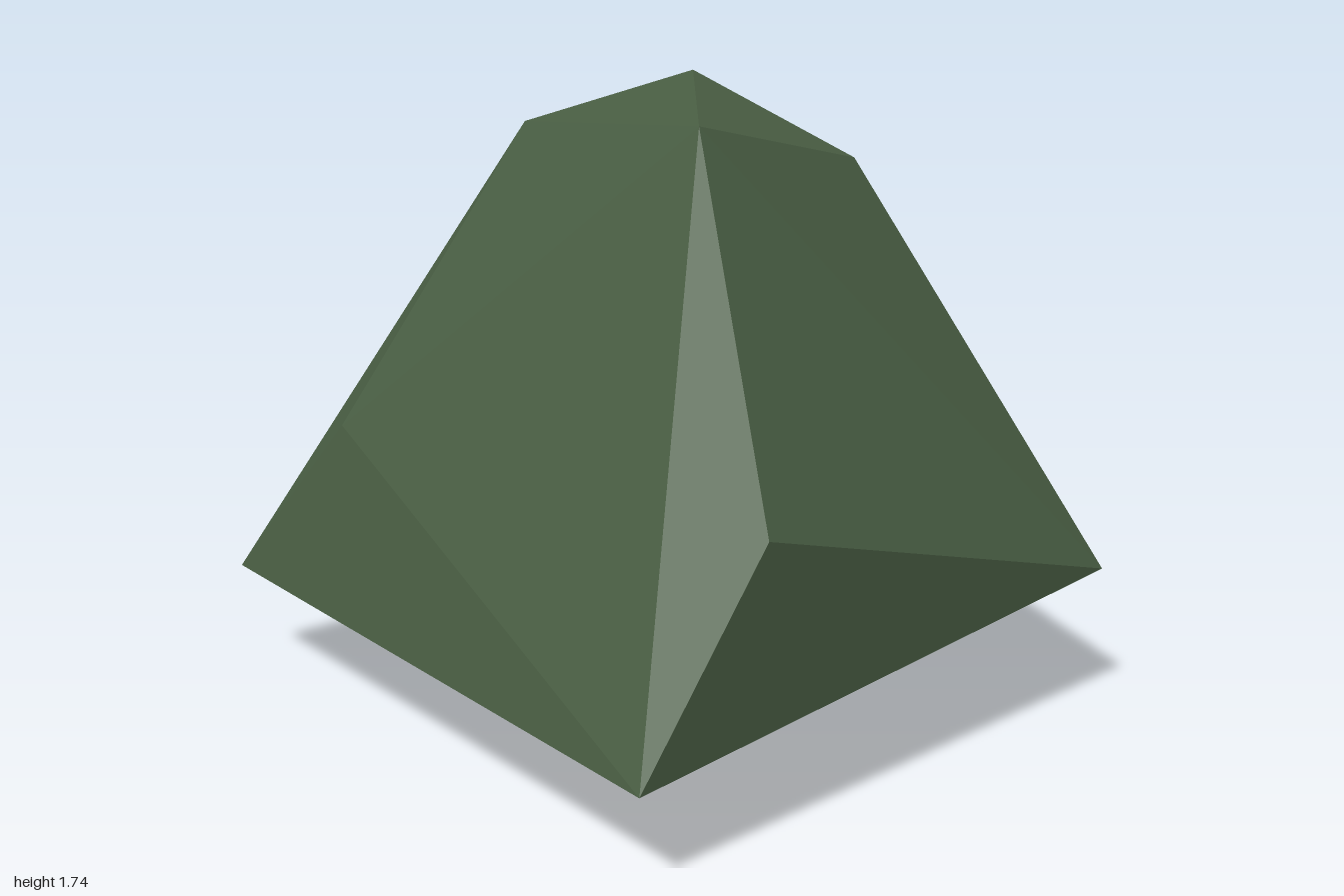
import * as THREE from 'three';
import { ConvexGeometry } from 'three/addons/geometries/ConvexGeometry.js';

export function createModel() {
  const group = new THREE.Group();
  group.name = 'rock';

  const mossGreen = new THREE.MeshStandardMaterial({ color: 0x4a5f44, flatShading: true });
  mossGreen.name = 'mossGreen';

  // Corners of the faceted boulder, ring by ring
  const corners = [
    // tilted crown, folded along its diagonal
    [-0.31, 1.74, -0.47], [0.39, 1.575, -0.41], [0.48, 1.74, 0.26], [-0.26, 1.665, 0.21],
    // shoulders
    [1.0, 0.84, 0.52], [-0.77, 0.83, -0.77], [-0.56, 0.82, 0.64],
    // wide lower rim
    [-1.0, 0.31, 0.71], [0.95, 0.28, 0.89], [0.93, 0.42, -0.89], [-0.56, 0.4, -0.885],
    // bottom point
    [0.09, 0, -0.14],
  ].map((p) => new THREE.Vector3(...p));

  const boulder = new THREE.Mesh(new ConvexGeometry(corners), mossGreen);
  boulder.name = 'boulder';
  group.add(boulder);
  return group;
}
